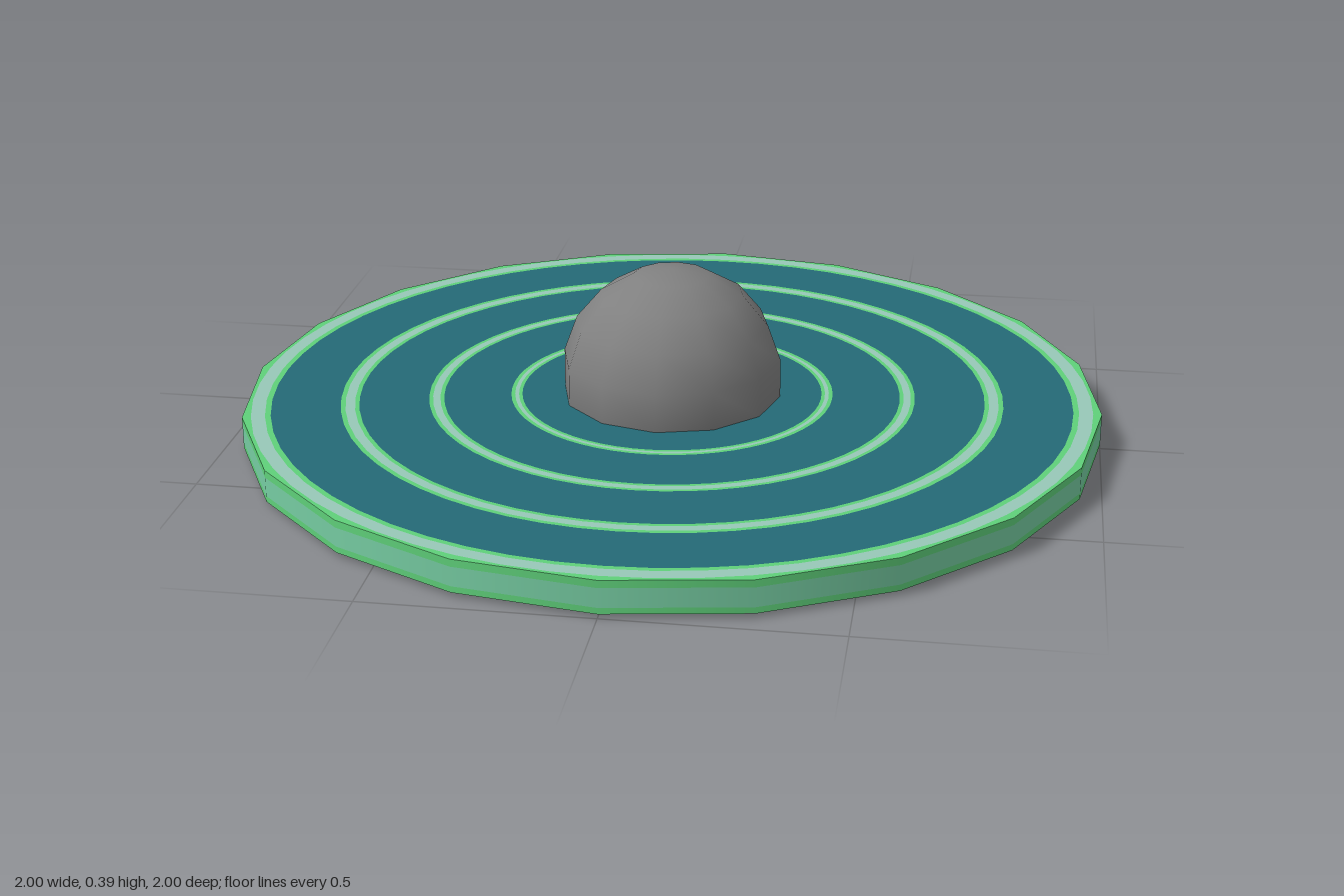
import * as THREE from 'three';

const material = (name, color) => {
  const m = new THREE.MeshStandardMaterial({ color });
  m.name = name;
  return m;
};

export function createModel() {
  const model = new THREE.Group();
  const teal = material('deep teal', 0x246a76);
  const green = material('bright green', 0x5fd07a);
  const mint = material('mint', 0x76cca2);
  const pale = material('pale sage', 0x98c8b8);
  const grey = material('grey', 0x808080);

  const BOTTOM = 0.01, TOP = 0.085, SIDES = 20;

  const add = (name, geometry, mat, y = 0, parent = model) => {
    const mesh = new THREE.Mesh(geometry, mat);
    mesh.name = name;
    mesh.position.y = y;
    parent.add(mesh);
    return mesh;
  };

  const polygon = (radius, sides) => Array.from({ length: sides }, (_, i) => {
    const a = (i / sides) * Math.PI * 2;
    return new THREE.Vector2(Math.cos(a) * radius, Math.sin(a) * radius);
  });

  // Flat band between two radii, facing up or down
  const band = (inner, outer, outerSides, up) => {
    const shape = new THREE.Shape(polygon(outer, outerSides));
    if (inner > 0) shape.holes.push(new THREE.Path(polygon(inner, 60)));
    return new THREE.ShapeGeometry(shape).rotateX(up ? -Math.PI / 2 : Math.PI / 2);
  };

  // Concentric colour bands, listed by outer radius from the centre
  const bands = [
    [0.352, teal], [0.360, green], [0.369, pale], [0.378, green],
    [0.535, teal], [0.544, green], [0.561, pale], [0.570, green],
    [0.732, teal], [0.742, green], [0.764, pale], [0.775, green],
    [0.935, teal], [0.948, green], [0.980, pale], [1, green],
  ];
  for (const up of [true, false]) {
    const face = new THREE.Group();
    face.name = up ? 'discTop' : 'discUnderside';
    let inner = 0;
    for (const [outer, mat] of bands) {
      const name = mat === teal ? 'discBand' : 'ringStripe';
      add(name, band(inner, outer, outer === 1 ? SIDES : 60, up), mat, up ? TOP : BOTTOM, face);
      inner = outer;
    }
    model.add(face);
  }

  // Rim wall in three stripes
  for (const [low, high, mat] of [[BOTTOM, 0.024, green], [0.024, 0.068, mint], [0.068, TOP, green]]) {
    add('rim', new THREE.CylinderGeometry(1, 1, high - low, SIDES, 1, true), mat, (low + high) / 2);
  }

  // Faceted dome, cut off below the disc
  const R = 0.26;
  add('dome', new THREE.SphereGeometry(R, 12, 6, 0, Math.PI * 2, 0, Math.PI * 2 / 3), grey, R / 2);

  // Base plate closing the dome underneath
  const baseRadius = R * Math.cos(Math.PI / 6);
  add('basePlate', band(0.12, baseRadius, 12, false), mint);
  add('basePlateCentre', band(0, 0.12, 60, false), pale);

  return model;
}
